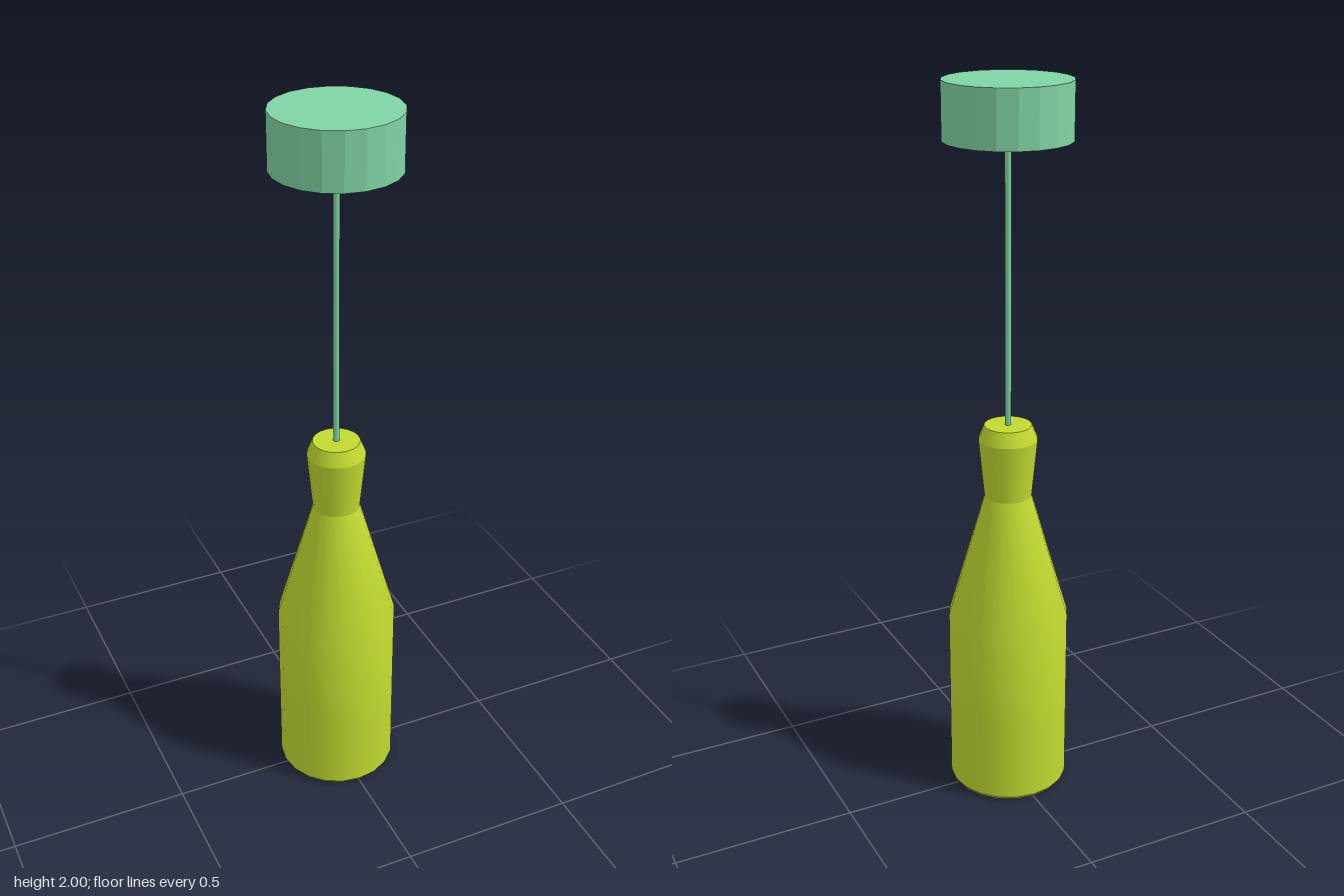
import * as THREE from 'three';

const SIDES = 20;

export function createModel() {
  const group = new THREE.Group();
  const mint = new THREE.MeshStandardMaterial({ color: 0x80d4a4 });
  const mintFlat = new THREE.MeshStandardMaterial({ color: 0x80d4a4, flatShading: true });
  const lime = new THREE.MeshStandardMaterial({ color: 0xc2da30 });
  const green = new THREE.MeshStandardMaterial({ color: 0x78c434 });

  const add = (name, geometry, material, y = 0) => {
    const mesh = new THREE.Mesh(geometry, material);
    mesh.name = name;
    mesh.position.y = y;
    group.add(mesh);
    return mesh;
  };
  // Turned section; profile runs from bottom to top as [radius, height]
  const turned = (profile) =>
    new THREE.LatheGeometry(profile.map(([r, y]) => new THREE.Vector2(r, y)), SIDES);

  // Ceiling canopy and hanging cord
  add('ceilingCanopy', new THREE.CylinderGeometry(0.168, 0.168, 0.15, SIDES), mintFlat, 1.925);
  add('cord', new THREE.CylinderGeometry(0.009, 0.009, 0.77, 8), mint, 1.47);

  // Bottle shade, in sections so that the ridges stay crisp
  add('shadeRimInside', turned([[0.155, 0.015], [0.155, 0]]), lime);
  add('shadeRim', turned([[0.155, 0], [0.163, 0.003], [0.168, 0.012]]), lime);
  add('shadeBody', turned([[0.168, 0.012], [0.168, 0.2], [0.168, 0.525], [0.065, 0.885]]), lime);
  add('shadeNeck', turned([[0.065, 0.885], [0.081, 1.05]]), lime);
  add('shadeLip', turned([[0.081, 1.05], [0.065, 1.09]]), lime);
  add('shadeTop', new THREE.CircleGeometry(0.065, SIDES), lime, 1.09).rotation.x = -Math.PI / 2;

  // Recessed diffuser closing the underside
  add('diffuser', new THREE.CircleGeometry(0.155, SIDES), green, 0.013).rotation.x = Math.PI / 2;

  return group;
}
